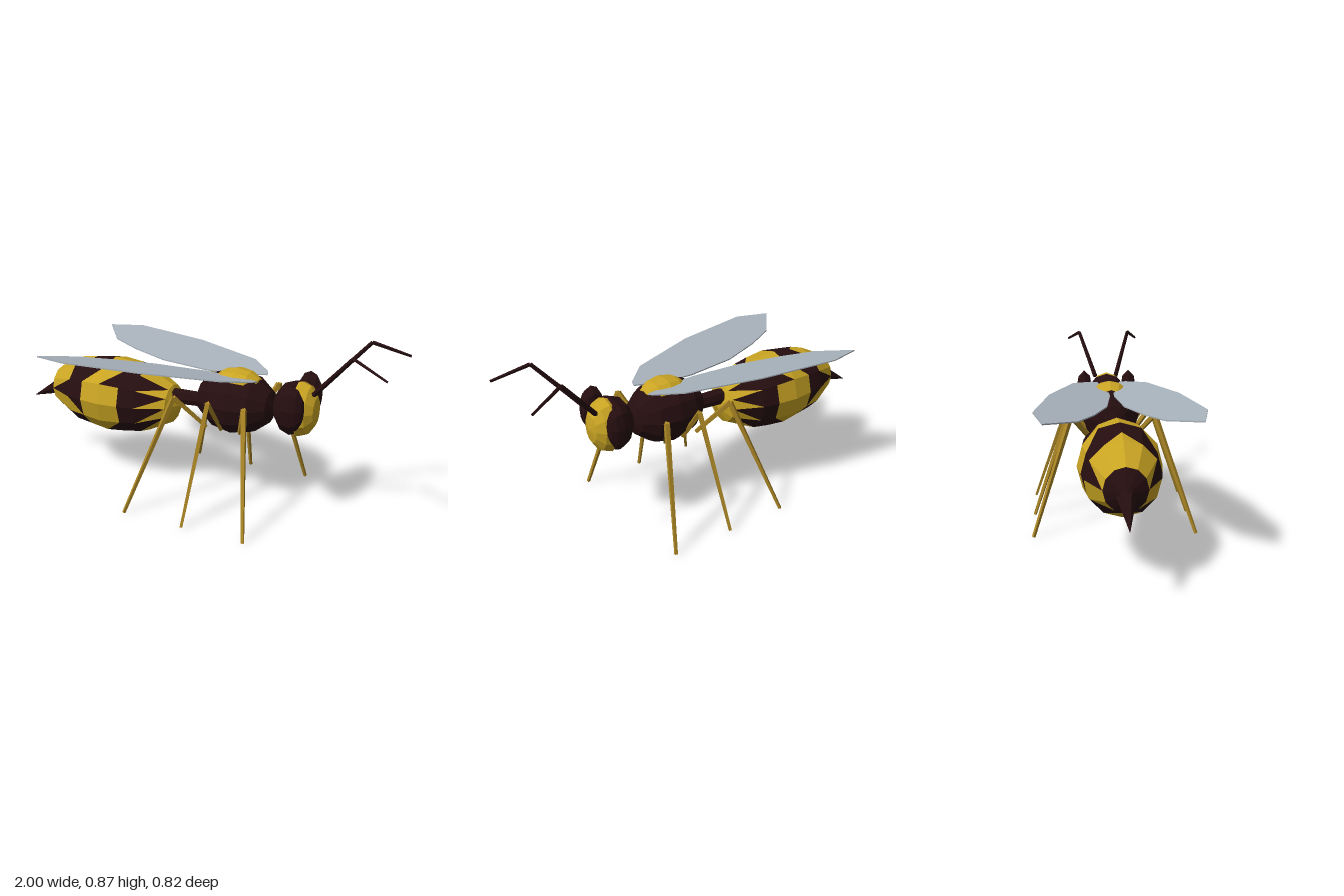
import * as THREE from 'three';

const mat = (name, color) => new THREE.MeshStandardMaterial({ name, color, flatShading: true });

export function createModel() {
  const dark = mat('darkBrown', 0x260e10);
  const yellow = mat('yellow', 0xc9a423);
  const ochre = mat('legOchre', 0xa88424);
  const grey = mat('wingGrey', 0xa8b2bb);
  const group = new THREE.Group();

  function add(name, geometry, material) {
    const mesh = new THREE.Mesh(geometry, material);
    mesh.name = name;
    group.add(mesh);
    return mesh;
  }

  // Faceted ellipsoid with its poles on the x axis
  function ellipsoid(name, material, center, radii, sides = 12, rings = 6) {
    const g = new THREE.SphereGeometry(1, sides, rings).rotateZ(-Math.PI / 2);
    g.scale(...radii).translate(...center);
    return add(name, g, material);
  }

  // Straight tapered rod between two points
  function rod(name, material, from, to, r0, r1, sides = 4) {
    const a = new THREE.Vector3(...from), b = new THREE.Vector3(...to);
    const dir = b.clone().sub(a);
    const mesh = add(name, new THREE.CylinderGeometry(r1, r0, dir.length(), sides), material);
    mesh.position.copy(a).add(b).multiplyScalar(0.5);
    mesh.quaternion.setFromUnitVectors(new THREE.Vector3(0, 1, 0), dir.normalize());
    return mesh;
  }

  // Abdomen: rings along x as [x, radius factor], tail to waist
  const rings = [[-0.855, 0.001], [-0.8, 0.5], [-0.655, 0.866], [-0.57, 0.925], [-0.46, 1],
    [-0.35, 0.94], [-0.265, 0.866], [-0.122, 0.5], [-0.075, 0.001]];
  // Markings of each strip from top to belly, mirrored on the other side.
  // D dark, Y yellow, a-d: dark triangle at top rear, top front, bottom rear, bottom front
  const marks = ['DDDDDD', 'YYdYda', 'dDDbDY', 'DaYYYY', 'YdYYdY', 'dDDDDY', 'YaaaaY', 'YYYYYY'];
  const corner = (ring, k, side) => {
    const [x, r] = rings[ring], t = k * Math.PI / 6;
    return [x, 0.448 + 0.198 * r * Math.cos(t), side * 0.192 * r * Math.sin(t)];
  };
  const faces = { dark: [], yellow: [] };
  for (const side of [1, -1]) {
    marks.forEach((row, i) => [...row].forEach((m, k) => {
      const tr = corner(i, k, side), tf = corner(i + 1, k, side);
      const br = corner(i, k + 1, side), bf = corner(i + 1, k + 1, side);
      const loop = { a: [tr, br, tf], d: [bf, tf, br], b: [tf, tr, bf], c: [br, bf, tr] };
      const pair = 'bc'.includes(m) ? ['b', 'c'] : ['a', 'd'];
      for (const p of pair) {
        const tri = side > 0 ? loop[p] : [...loop[p]].reverse();
        faces[m === 'D' || m === p ? 'dark' : 'yellow'].push(...tri.flat());
      }
    }));
  }
  for (const [key, material] of [['dark', dark], ['yellow', yellow]]) {
    const g = new THREE.BufferGeometry();
    g.setAttribute('position', new THREE.Float32BufferAttribute(faces[key], 3));
    g.computeVertexNormals();
    add(key + 'AbdomenMarkings', g, material);
  }
  rod('stinger', dark, [-0.81, 0.435, 0], [-1, 0.345, 0], 0.045, 0.001, 6);
  rod('waist', dark, [-0.12, 0.49, 0], [0.1, 0.5, 0], 0.042, 0.036, 8);

  // Thorax with its yellow back patch
  ellipsoid('thorax', dark, [0.228, 0.522, 0], [0.205, 0.158, 0.152]);
  ellipsoid('thoraxPatch', yellow, [0.235, 0.615, 0], [0.125, 0.075, 0.1]);

  // Head and face
  ellipsoid('head', dark, [0.525, 0.54, 0], [0.098, 0.134, 0.115]);
  ellipsoid('face', yellow, [0.558, 0.54, 0], [0.087, 0.136, 0.1]);

  // Wing outline as [x, z] on the left
  const outline = [[0.36, 0.06], [0.35, 0.09], [0.24, 0.19], [-0.12, 0.31], [-0.52, 0.378],
    [-0.7, 0.335], [-0.57, 0.185], [-0.41, 0.11], [-0.2, 0.04], [0.06, 0.01], [0.2, 0.015]];
  // Legs as [hip x, knee x, foot x]
  const legs = { front: [0.29, 0.36, 0.455], middle: [0.19, 0.175, 0.137], rear: [0.11, -0.005, -0.18] };

  for (const [side, s] of [['left', 1], ['right', -1]]) {
    ellipsoid(side + 'Eye', dark, [0.555, 0.578, s * 0.122], [0.062, 0.112, 0.045], 8, 6);

    // Antenna with one bend
    const bend = [0.832, 0.863, s * 0.14];
    rod(side + 'AntennaBase', dark, [0.635, 0.64, s * 0.057], bend, 0.012, 0.009);
    rod(side + 'AntennaTip', dark, bend, [0.998, 0.805, s * 0.2], 0.009, 0.006);

    // Thin wing rising outwards
    const shape = new THREE.Shape(outline.map(([x, z]) => new THREE.Vector2(x, -s * z)));
    const wing = new THREE.ExtrudeGeometry(shape, { depth: 0.006, bevelEnabled: false });
    wing.rotateX(-Math.PI / 2);
    const p = wing.attributes.position;
    for (let i = 0; i < p.count; i++) p.setY(i, p.getY(i) + 0.646 + 0.16 * Math.abs(p.getZ(i)));
    wing.computeVertexNormals();
    add(side + 'Wing', wing, grey);

    // Jointed legs
    for (const [place, [hip, knee, foot]] of Object.entries(legs)) {
      const joint = [knee, 0.568, s * 0.208];
      rod(`${side}${place}Thigh`, ochre, [hip, 0.4, s * 0.092], joint, 0.012, 0.015);
      rod(`${side}${place}Shin`, ochre, joint, [foot, 0.003, s * 0.4], 0.015, 0.009);
    }
  }
  return group;
}
